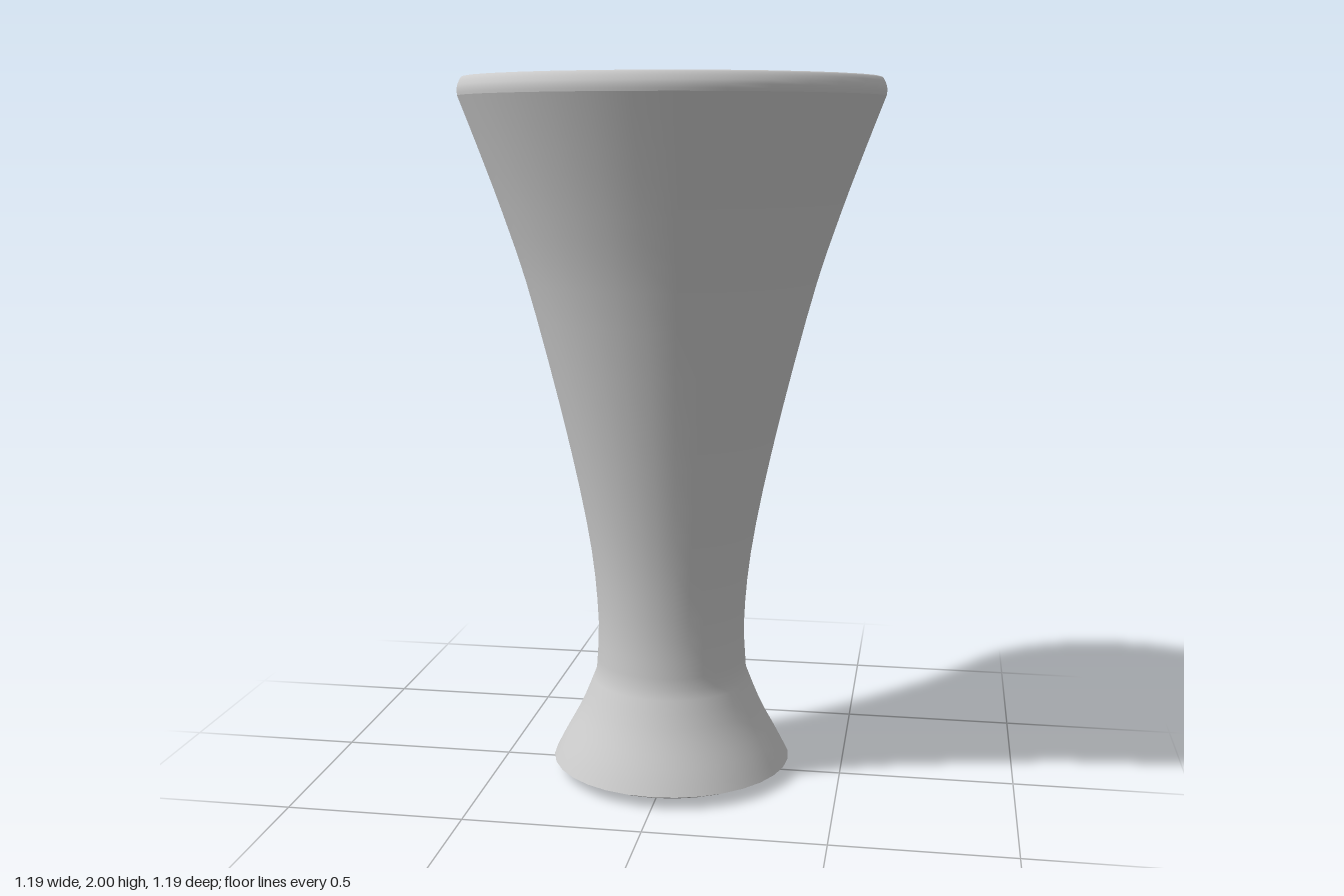
import * as THREE from 'three';

const SIDES = 32;

// Smooth curve through [radius, height] points
function smooth(points, divisions) {
  return new THREE.SplineCurve(points.map(([r, y]) => new THREE.Vector2(r, y))).getPoints(divisions);
}

function lathe(name, points, material) {
  const mesh = new THREE.Mesh(new THREE.LatheGeometry(points, SIDES), material);
  mesh.name = name;
  return mesh;
}

export function createModel() {
  const group = new THREE.Group();
  group.name = 'flaredGlass';
  const material = new THREE.MeshStandardMaterial({ color: 0xcccccc, side: THREE.DoubleSide });

  // Underside of the foot, from the centre to its edge
  const underside = [[0, 0], [0.2, 0.004], [0.3, 0.013], [0.347, 0.035]]
    .map(([r, y]) => new THREE.Vector2(r, y));
  group.add(lathe('footUnderside', underside, material));

  // Flared foot, narrow waist and widening outer wall
  const foot = smooth([[0.347, 0.035], [0.32, 0.088], [0.265, 0.19], [0.22, 0.3]], 10);
  const wall = smooth([
    [0.22, 0.3], [0.214, 0.45], [0.236, 0.68], [0.3, 1.0],
    [0.4, 1.4], [0.47, 1.62], [0.535, 1.8], [0.592, 1.95],
  ], 22);
  group.add(lathe('outerWall', [...foot, ...wall.slice(1)], material));

  // Rounded lip
  const lip = smooth([[0.592, 1.95], [0.593, 1.972], [0.582, 1.997], [0.57, 2.0], [0.557, 1.985]], 10);
  group.add(lathe('rim', lip, material));

  // Inner wall running down to a small rounded floor
  const inner = smooth([
    [0.557, 1.985], [0.5, 1.8], [0.435, 1.62], [0.363, 1.4],
    [0.262, 1.0], [0.197, 0.68], [0.168, 0.45], [0.14, 0.36],
  ], 22);
  const floor = smooth([[0.14, 0.36], [0.08, 0.335], [0, 0.33]], 5);
  floor[floor.length - 1].x = 0;
  group.add(lathe('innerBowl', [...inner, ...floor.slice(1)], material));

  return group;
}
